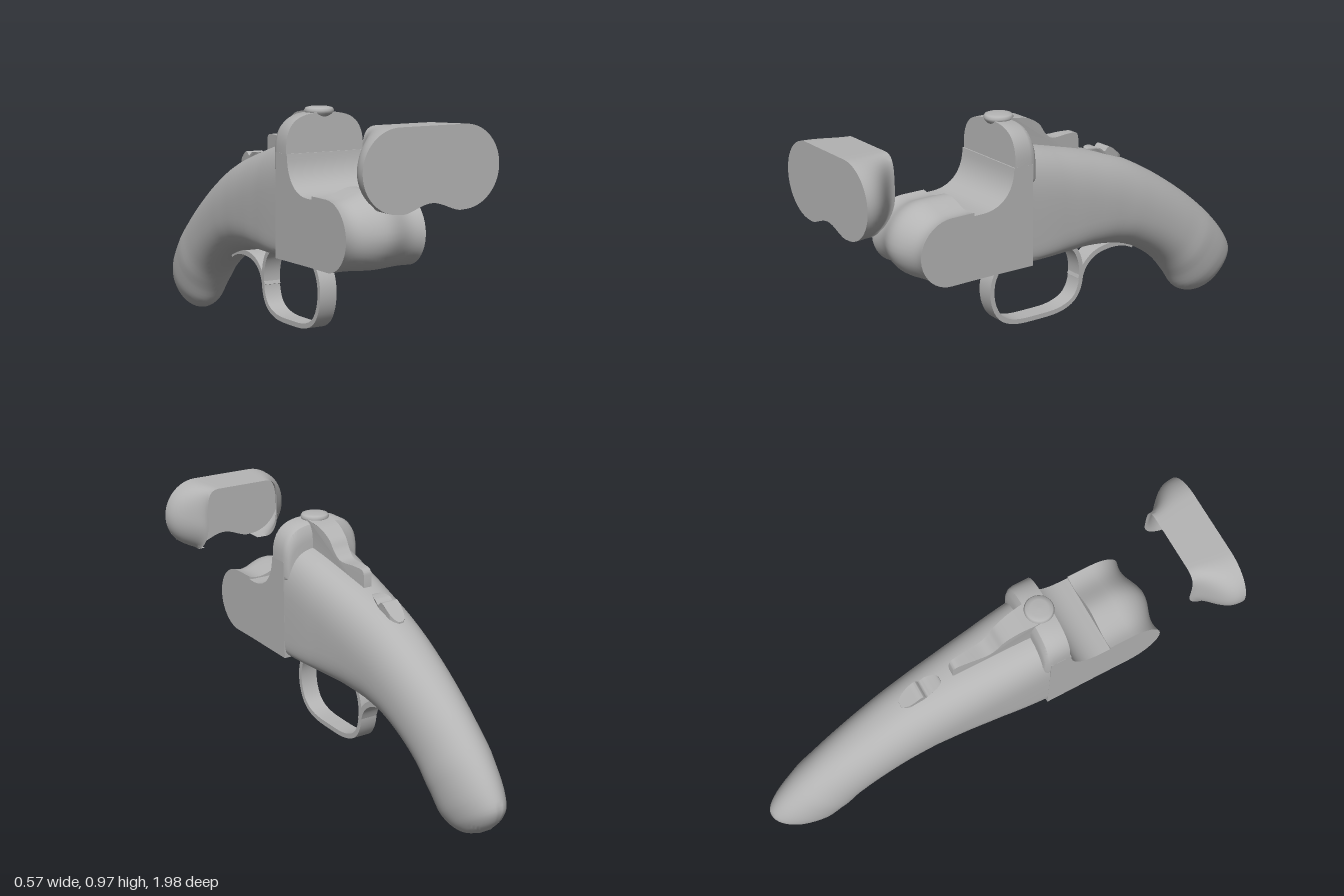
import * as THREE from 'three';
import { toCreasedNormals } from 'three/addons/utils/BufferGeometryUtils.js';

const steel = new THREE.MeshStandardMaterial({ color: 0xb4b4b4, side: THREE.DoubleSide });
steel.name = 'grey steel';

const V = (x, y, z) => new THREE.Vector3(x, y, z);
const part = (name, geo) => {
  const m = new THREE.Mesh(geo, steel);
  m.name = name;
  return m;
};

// Skin over a row of point rings; closed rings get end caps.
function loft(rings, closed = true, crease = 0.6) {
  const pos = [], n = rings[0].length;
  const tri = (...p) => p.forEach((v) => pos.push(v.x, v.y, v.z));
  for (let i = 0; i < rings.length - 1; i++) {
    for (let j = 0; j < (closed ? n : n - 1); j++) {
      const k = (j + 1) % n, [r, s] = [rings[i], rings[i + 1]];
      tri(r[j], s[j], r[k]);
      tri(r[k], s[j], s[k]);
    }
  }
  if (closed) {
    [rings[0], rings[rings.length - 1]].forEach((r, end) => {
      const c = r.reduce((a, p) => a.add(p), V(0, 0, 0)).divideScalar(n);
      r.forEach((p, j) => {
        const q = r[(j + 1) % n];
        if (end) tri(c, q, p); else tri(c, p, q);
      });
    });
  }
  const g = new THREE.BufferGeometry();
  g.setAttribute('position', new THREE.Float32BufferAttribute(pos, 3));
  g.computeVertexNormals();
  return toCreasedNormals(g, crease);
}

// Rounded section between a top and a bottom point, with its own squareness above and below.
function section(top, bottom, halfWidth, nTop, nBottom, mid = 0.45, count = 56) {
  const c = bottom.clone().lerp(top, mid);
  return Array.from({ length: count }, (_, i) => {
    const a = (i / count) * Math.PI * 2, s = Math.sin(a), co = Math.cos(a);
    const e = 2 / (s > 0 ? nTop : nBottom);
    const p = c.clone().lerp(s > 0 ? top : bottom, Math.pow(Math.abs(s), e));
    p.x = halfWidth * Math.sign(co) * Math.pow(Math.abs(co), e);
    return p;
  });
}

// Side profile in (z, y), extruded across x.
function sideExtrude(shape, width, curveSegments = 10) {
  const g = new THREE.ExtrudeGeometry(shape, { depth: width, bevelEnabled: false, curveSegments });
  g.translate(0, 0, -width / 2).rotateY(-Math.PI / 2);
  return g;
}

// Flat strap of constant thickness following a side path.
function strap(points, thick, width) {
  const curve = new THREE.SplineCurve(points.map((p) => new THREE.Vector2(...p)));
  const a = [], b = [], N = 48;
  for (let i = 0; i <= N; i++) {
    const p = curve.getPoint(i / N), t = curve.getTangent(i / N);
    const off = new THREE.Vector2(-t.y, t.x).multiplyScalar(thick / 2);
    a.push(p.clone().add(off));
    b.unshift(p.clone().sub(off));
  }
  return toCreasedNormals(sideExtrude(new THREE.Shape([...a, ...b]), width), 0.6);
}

// Side profile whose half width follows a rule along z.
function taperedProfile(points, base, halfWidth) {
  const line = new THREE.SplineCurve(points.map((p) => new THREE.Vector2(...p))).getPoints(40);
  const shape = new THREE.Shape([...line, ...base.map((p) => new THREE.Vector2(...p))]);
  const g = sideExtrude(shape, 2), p = g.attributes.position;
  for (let i = 0; i < p.count; i++) p.setX(i, p.getX(i) * halfWidth(p.getZ(i)));
  g.computeVertexNormals();
  return toCreasedNormals(g, 0.6);
}

// Rear of the frame flowing into the curved grip.
function gripGeometry() {
  // top z, top y, bottom z, bottom y, half width, top squareness, bottom squareness
  const rows = [
    [0.2, 0.855, 0.2, 0.39, 0.172, 3.2, 9],
    [0.1, 0.832, 0.1, 0.383, 0.167, 3, 7],
    [0, 0.805, 0, 0.375, 0.16, 2.8, 5],
    [-0.17, 0.757, -0.14, 0.364, 0.15, 2.5, 3.5],
    [-0.35, 0.695, -0.27, 0.34, 0.14, 2.3, 2.6],
    [-0.5, 0.617, -0.38, 0.31, 0.133, 2.2, 2.3],
    [-0.65, 0.52, -0.5, 0.25, 0.126, 2.1, 2.2],
    [-0.78, 0.422, -0.59, 0.18, 0.121, 2, 2.1],
    [-0.89, 0.32, -0.655, 0.1, 0.116, 2, 2],
    [-0.965, 0.23, -0.7, 0.035, 0.104, 2, 2],
    [-0.997, 0.165, -0.755, 0.005, 0.083, 2, 2],
    [-0.983, 0.115, -0.82, 0, 0.055, 2, 2],
    [-0.94, 0.06, -0.89, 0.025, 0.015, 2, 2],
  ];
  const curve = (f) => new THREE.CatmullRomCurve3(rows.map(f));
  const top = curve((r) => V(0, r[1], r[0])), bottom = curve((r) => V(0, r[3], r[2]));
  const form = curve((r) => V(r[4], r[5], r[6]));
  const N = 48;
  return loft(Array.from({ length: N + 1 }, (_, i) => {
    const f = form.getPoint(i / N);
    return section(top.getPoint(i / N), bottom.getPoint(i / N), f.x, f.y, f.z);
  }), true, 0.75);
}

// Wave running across the hinge and the barrel underside.
const wave = (x) => 0.0165 * (1 + Math.cos((Math.PI * x) / 0.13));

function hingeGeometry() {
  const rings = [];
  for (let i = 0; i <= 24; i++) {
    const x = -0.172 + (0.344 * i) / 24, w = wave(x), ring = [V(x, 0.395, 0.44)];
    for (let j = 0; j <= 20; j++) {
      const a = -Math.PI / 2 + (Math.PI * j) / 20, r = 0.13 + w * Math.min(1, j / 10);
      ring.push(V(x, 0.525 + r * Math.sin(a), 0.562 + r * Math.cos(a)));
    }
    ring.push(V(x, 0.655 + w, 0.46), V(x, 0.6, 0.46), V(x, 0.6, 0.44));
    rings.push(ring);
  }
  return loft(rings);
}

// Barrel stub: an open-backed shell blending from two round bores to the frame width.
function barrelShellGeometry() {
  const edge = [], R = 0.149, cx = 0.135, cy = 0.809;
  for (let i = 0; i <= 24; i++) {
    const a = -Math.PI / 2 + (Math.PI * i) / 24;
    edge.push([cx + R * Math.cos(a), cy + R * Math.sin(a)]);
  }
  for (let i = 1; i < 8; i++) edge.push([cx - (2 * cx * i) / 8, cy + R]);
  for (let i = 0; i <= 24; i++) {
    const a = Math.PI / 2 + (Math.PI * i) / 24;
    edge.push([-cx + R * Math.cos(a), cy + R * Math.sin(a)]);
  }
  const rings = [];
  for (let i = 0; i <= 16; i++) {
    const t = i / 16, f = (1 + Math.cos(Math.PI * Math.pow(t, 1.3))) / 2;
    rings.push(edge.map(([x, y]) => {
      const ax = Math.abs(x);
      const inner = y > cy ? 0.172 * Math.sin((Math.min(1, ax / 0.284) * Math.PI) / 2) : Math.min(ax, 0.172);
      const drop = Math.min(1, Math.max(0, (0.8 - y) / 0.145));
      const zBack = 0.95 - 0.15 * Math.sqrt(1 - drop * drop);
      return V(Math.sign(x) * (inner + (ax - inner) * f), y - (y > cy ? 0.008 * t : 0), 0.98 + (zBack - 0.98) * t);
    }));
  }
  return loft(rings, false, 0.8);
}

function barrelFaceGeometry() {
  const s = new THREE.Shape();
  s.absarc(0.135, 0.809, 0.149, -Math.PI / 2, Math.PI / 2);
  s.absarc(-0.135, 0.809, 0.149, Math.PI / 2, Math.PI * 1.5);
  for (let i = 1; i < 16; i++) {
    const x = -0.135 + (0.27 * i) / 16;
    s.lineTo(x, 0.658 + wave(x));
  }
  return new THREE.ShapeGeometry(s, 24).translate(0, 0, 0.98);
}

export function createModel() {
  const g = new THREE.Group();
  g.name = 'breakActionFrame';

  g.add(part('grip', gripGeometry()));
  g.add(part('hinge', hingeGeometry()));

  // Flat-sided frame with the curved breech floor
  const s = new THREE.Shape();
  s.moveTo(0.19, 0.39);
  s.lineTo(0.46, 0.395);
  s.lineTo(0.46, 0.65);
  s.lineTo(0.42, 0.65);
  s.bezierCurveTo(0.34, 0.652, 0.28, 0.7, 0.276, 0.8);
  s.lineTo(0.19, 0.8);
  g.add(part('frame', toCreasedNormals(sideExtrude(s, 0.344), 0.5)));

  // Raised breech shoulders
  g.add(part('breechShoulders', loft([
    [0.272, 0, 0.268], [0.2, 0, 0.2], [0.182, 0.01, 0.182], [0.17, 0.035, 0.17], [0.165, 0.07, 0.165],
  ].map(([zb, inset, zt]) => section(V(0, 0.95 - inset, zt), V(0, 0.72, zb), 0.172 - inset * 0.3, 3, 12, 0.3)))));

  // Barrel stub standing clear in front
  const barrel = new THREE.Group();
  barrel.name = 'barrelStub';
  barrel.add(part('barrelShell', barrelShellGeometry()), part('barrelFace', barrelFaceGeometry()));
  g.add(barrel);

  // Top lever with its round thumb knob
  g.add(part('topLever', taperedProfile(
    [[0.2, 0.955], [0.12, 0.94], [0.06, 0.905], [0.03, 0.865], [-0.01, 0.835], [-0.09, 0.835], [-0.14, 0.83], [-0.152, 0.8]],
    [[-0.152, 0.72], [0.2, 0.8]],
    (z) => 0.017 + 0.034 * Math.min(1, Math.max(0, (z + 0.152) / 0.33)))));
  const knob = [[0, 0.93], [0.04, 0.93], [0.054, 0.945], [0.058, 0.956], [0.052, 0.966], [0.035, 0.97], [0, 0.971]];
  const knobMesh = part('leverKnob', new THREE.LatheGeometry(knob.map((p) => new THREE.Vector2(...p)), 32));
  knobMesh.position.z = 0.225;
  g.add(knobMesh);

  // Safety slide behind the lever
  g.add(part('safetySlide', taperedProfile(
    [[-0.2, 0.74], [-0.205, 0.752], [-0.25, 0.748], [-0.272, 0.733], [-0.29, 0.748], [-0.31, 0.742], [-0.34, 0.718], [-0.375, 0.69]],
    [[-0.375, 0.65], [-0.35, 0.65], [-0.3, 0.66], [-0.22, 0.68], [-0.2, 0.68]],
    (z) => 0.036 * Math.pow(Math.max(0.02, 1 - Math.pow(Math.abs((z + 0.2875) / 0.09), 3)), 0.5))));

  // Trigger guard bow and its rear tang
  g.add(part('triggerGuard', strap([
    [0.19, 0.395], [0.25, 0.355], [0.285, 0.29], [0.285, 0.21], [0.25, 0.14], [0.18, 0.105], [0.07, 0.097],
    [-0.04, 0.1], [-0.115, 0.13], [-0.15, 0.19], [-0.153, 0.27], [-0.13, 0.335], [-0.09, 0.375],
  ], 0.02, 0.074)));
  g.add(part('guardTang', strap([
    [-0.15, 0.21], [-0.175, 0.265], [-0.23, 0.307], [-0.31, 0.322], [-0.38, 0.315], [-0.43, 0.295],
  ], 0.022, 0.074)));

  return g;
}
